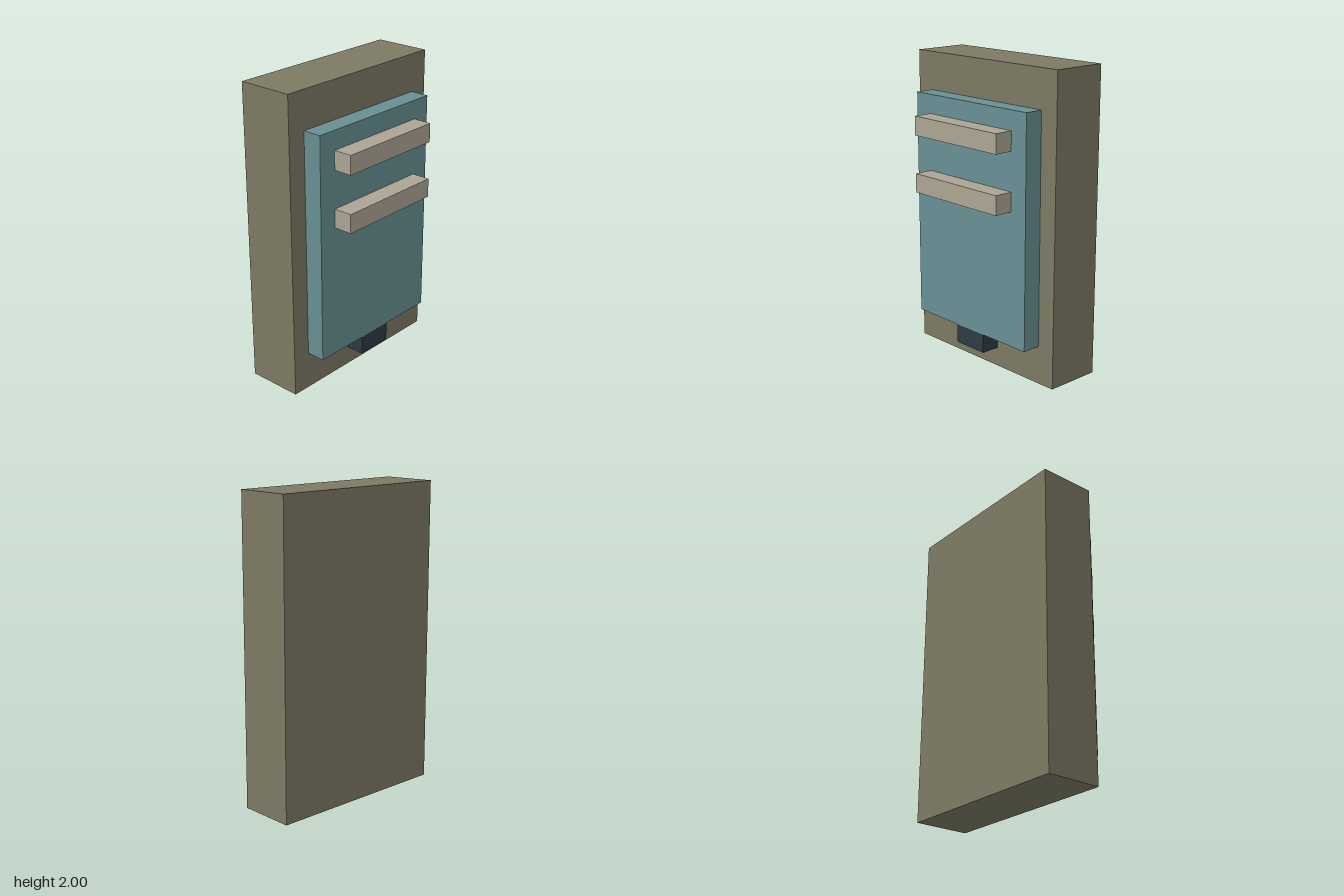
import * as THREE from 'three';

export function createModel() {
  const model = new THREE.Group();
  model.name = 'lockerPanel';

  const material = (color) => new THREE.MeshStandardMaterial({ color });
  const olive = material(0x7c7963);
  const teal = material(0x688f93);
  const beige = material(0xaca594);
  const navy = material(0x2f3a45);

  // Box centred on x, given by its width and its y and z ranges
  function addBox(name, mat, width, [y0, y1], [z0, z1]) {
    const mesh = new THREE.Mesh(new THREE.BoxGeometry(width, y1 - y0, z1 - z0), mat);
    mesh.name = name;
    mesh.position.set(0, (y0 + y1) / 2, (z0 + z1) / 2);
    model.add(mesh);
  }

  // Main slab and the raised panel on its front
  addBox('body', olive, 1.25, [0, 2], [-0.3125, 0.0625]);
  addBox('frontPanel', teal, 1, [0.25, 1.75], [0.0625, 0.1875]);

  // Small block under the panel
  addBox('latch', navy, 0.25, [0.125, 0.25], [0.0625, 0.1875]);

  // Two horizontal bars across the panel
  [['upperBar', 1.5], ['lowerBar', 1.125]].forEach(([name, y]) =>
    addBox(name, beige, 0.75, [y, y + 0.125], [0.1875, 0.3125]));

  return model;
}
